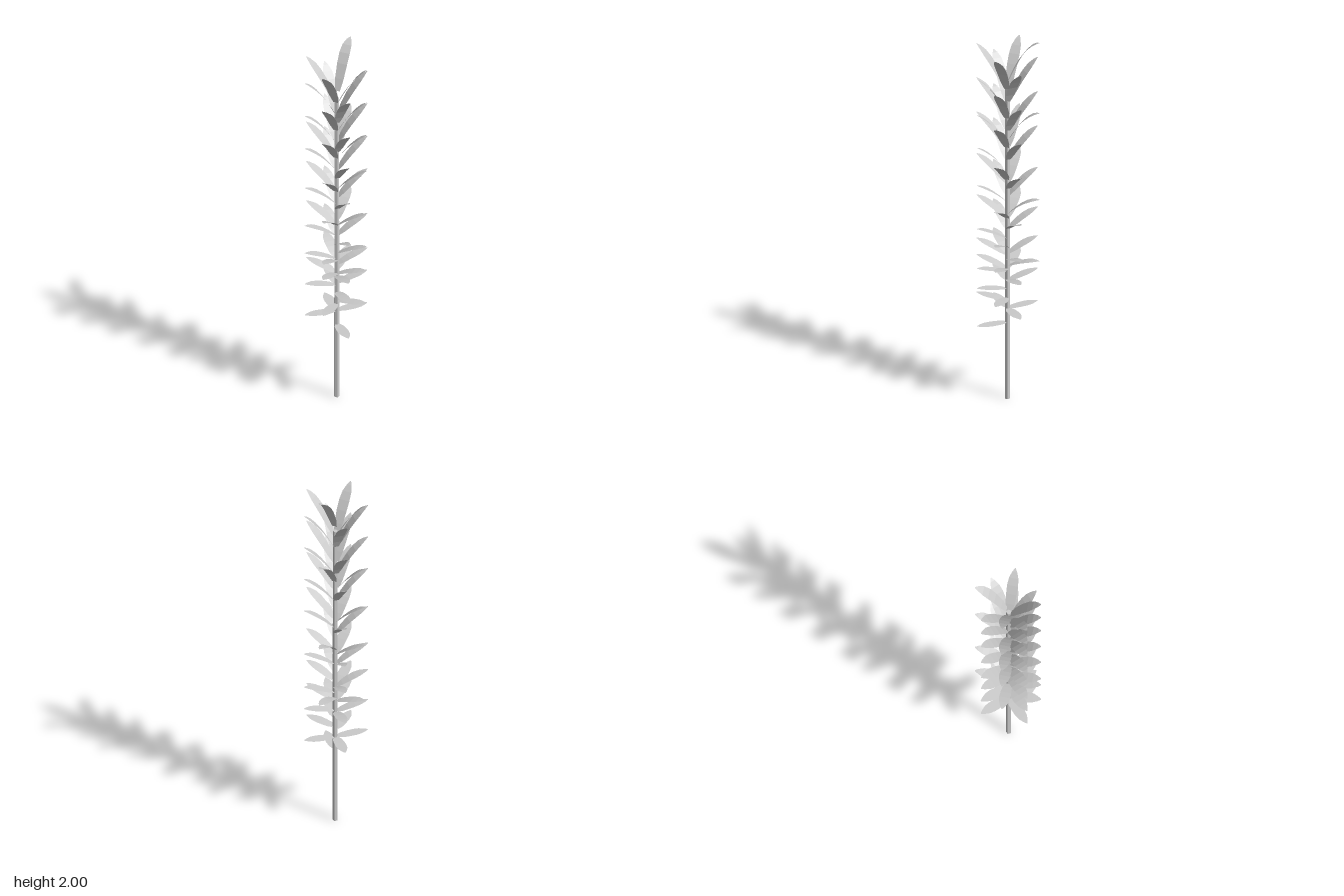
import * as THREE from 'three';

const AXIS_X = 0.003;
// Outline of a leaf: [fraction of reach, half width]
const OUTLINE = [[0.06, 0.013], [0.2, 0.023], [0.4, 0.027], [0.58, 0.028], [0.75, 0.024], [0.9, 0.013], [1, 0.002]];

// Leaf ranks: direction (degrees from +z towards +x), reach, arch of the blades, tip heights
const RANKS = [
  [0, 0.165, 0.5, [1.8, 1.6, 1.42, 1.21, 0.97, 0.75, 0.64, 0.43]],
  [45, 0.163, 0.5, [1.94, 1.75, 1.56, 1.35, 1.1, 0.91, 0.77, 0.58]],
  [90, 0.164, 0.5, [1.86, 1.67, 1.48, 1.29, 1.03, 0.83, 0.7, 0.51]],
  [135, 0.172, 0.85, [2.0, 1.61, 1.13, 0.79]],
  [180, 0.165, 0.5, [1.86, 1.67, 1.48, 1.25, 1.03, 0.87, 0.69, 0.51]],
  [225, 0.165, 0.5, [1.94, 1.56, 1.33, 1.1, 0.77]],
  [270, 0.17, 0.6, [1.86, 1.67, 1.48, 1.25, 1.03, 0.87, 0.69, 0.51]],
  [315, 0.165, 0.5, [1.94, 1.75, 1.56, 1.33, 1.1, 0.86, 0.77, 0.56]],
];

// Upper leaves stand steeply, lower ones lie almost flat
const riseAt = (tip) => THREE.MathUtils.clamp(0.015 + (tip - 0.55) * 0.165, 0.005, 0.27);

// Thin blade growing along +z, arching over towards its tip
function leafGeometry(reach, rise, arch) {
  const positions = [];
  const index = [];
  OUTLINE.forEach(([t, w], i) => {
    const y = rise * ((1 + arch) * t - arch * t * t);
    positions.push(-w, y, t * reach, w, y, t * reach);
    if (i) {
      const a = 2 * i - 2;
      index.push(a, a + 2, a + 1, a + 1, a + 2, a + 3);
    }
  });
  const geo = new THREE.BufferGeometry();
  geo.setAttribute('position', new THREE.Float32BufferAttribute(positions, 3));
  geo.setIndex(index);
  geo.computeVertexNormals();
  return geo;
}

export function createModel() {
  const model = new THREE.Group();
  model.name = 'plant';
  const stemMaterial = new THREE.MeshStandardMaterial({ color: 0xcccccc, flatShading: true });
  const leafMaterial = new THREE.MeshStandardMaterial({
    color: 0xcccccc, flatShading: true, side: THREE.DoubleSide,
  });

  // Slender five-sided stem
  const stem = new THREE.Mesh(new THREE.CylinderGeometry(0.013, 0.014, 1.74, 5), stemMaterial);
  stem.position.set(AXIS_X, 0.87, 0);
  stem.name = 'stem';
  model.add(stem);

  // Eight ranks of leaves around the stem
  for (const [angle, reach, arch, tips] of RANKS) {
    const rank = new THREE.Group();
    rank.name = 'leafRank';
    rank.position.x = AXIS_X;
    rank.rotation.y = THREE.MathUtils.degToRad(angle);
    for (const tip of tips) {
      const rise = riseAt(tip);
      const leaf = new THREE.Mesh(leafGeometry(reach, rise, arch), leafMaterial);
      leaf.position.y = tip - rise;
      leaf.name = 'leaf';
      rank.add(leaf);
    }
    model.add(rank);
  }
  return model;
}
